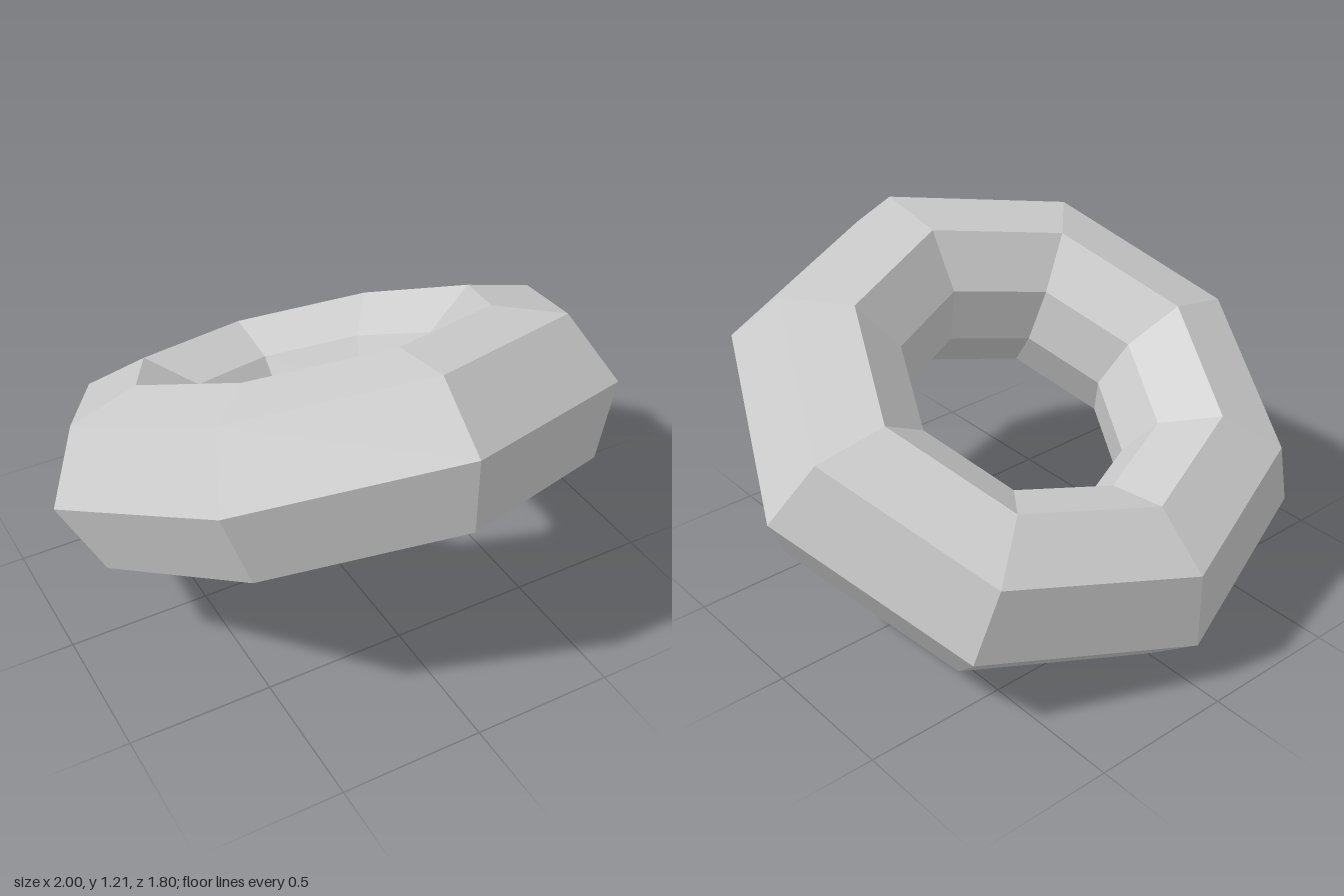
import * as THREE from 'three';

export function createModel() {
  const group = new THREE.Group();
  group.name = 'tiltedRing';

  const grey = new THREE.MeshStandardMaterial({ color: 0xcccccc, flatShading: true });
  grey.name = 'light grey';

  // Upper half of the eight-sided cross-section (radius, height), from outer rim to inner rim
  const upper = [[1, 0], [0.88, 0.243], [0.638, 0.308], [0.453, 0.185], [0.39, 0]];
  const lower = upper.slice(0, 4).reverse().map(([r, y]) => [r, -y]);
  const section = [...upper, ...lower].map(([r, y]) => new THREE.Vector2(r, y));

  // Eight-sided faceted ring, tipped so the front is raised
  const ring = new THREE.Mesh(new THREE.LatheGeometry(section, 8), grey);
  ring.name = 'ring';
  ring.rotation.x = THREE.MathUtils.degToRad(-26);
  ring.position.y = 0.604;
  group.add(ring);

  return group;
}
